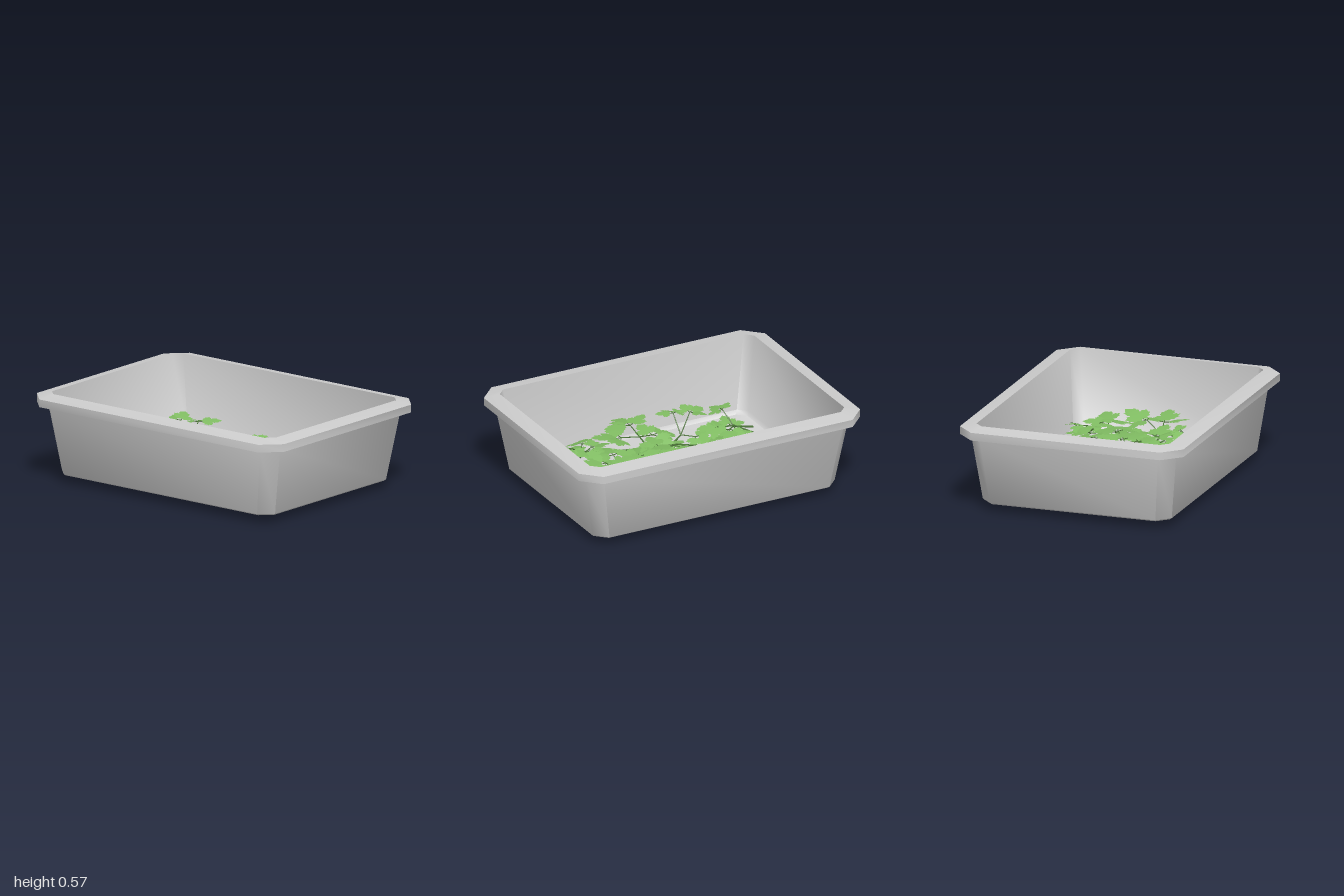
import * as THREE from 'three';
import { mergeGeometries, toCreasedNormals } from 'three/addons/utils/BufferGeometryUtils.js';

const grey = new THREE.MeshStandardMaterial({ color: 0xcccccc });
const leafGreen = new THREE.MeshStandardMaterial({ color: 0x80bc62, side: THREE.DoubleSide });
const stemGreen = new THREE.MeshStandardMaterial({ color: 0x4f7a3a });
const UP = new THREE.Vector3(0, 1, 0);

let seed = 7;
const rand = (a, b) => {
  seed = (seed * 16807) % 2147483647;
  return a + (b - a) * (seed / 2147483647);
};

// Rectangle with cut corners, half sizes w and d, cut c, at height y
const ring = ([w, d, c, y]) => [
  [w, y, d - c], [w - c, y, d], [c - w, y, d], [-w, y, d - c],
  [-w, y, c - d], [c - w, y, -d], [w - c, y, -d], [w, y, c - d],
];

// Tray: cut-corner sections from the underside, over the rim, to the inner floor
function makeTray() {
  const rings = [
    [0.615, 0.85, 0.07, 0.05], [0.63, 0.862, 0.08, 0.06],
    [0.685, 0.94, 0.09, 0.5], [0.745, 1.0, 0.115, 0.5], [0.745, 1.0, 0.115, 0.55],
    [0.645, 0.905, 0.05, 0.57], [0.595, 0.835, 0.055, 0.085], [0.58, 0.82, 0.055, 0.06],
  ].map(ring);
  const pos = [];
  const tri = (...pts) => pts.forEach((p) => pos.push(...p));
  for (let i = 0; i < rings.length - 1; i++) {
    for (let j = 0; j < 8; j++) {
      const k = (j + 1) % 8, lo = rings[i], hi = rings[i + 1];
      tri(lo[j], hi[j], hi[k]);
      tri(lo[j], hi[k], lo[k]);
    }
  }
  const under = rings[0], floor = rings[rings.length - 1];
  for (let j = 1; j < 7; j++) {
    tri(under[0], under[j], under[j + 1]);
    tri(floor[0], floor[j + 1], floor[j]);
  }
  const geo = new THREE.BufferGeometry();
  geo.setAttribute('position', new THREE.Float32BufferAttribute(pos, 3));
  const mesh = new THREE.Mesh(toCreasedNormals(geo, 0.9), grey);
  mesh.name = 'tray';
  return mesh;
}

// Lobed, toothed leaf of length 1 with its stalk end at the origin, tip toward -z
function makeLeafShape() {
  const half = [
    [0.03, 0], [0.16, -0.06], [0.24, 0.03], [0.36, 0.03], [0.40, 0.13], [0.52, 0.20],
    [0.47, 0.28], [0.54, 0.42], [0.42, 0.42], [0.37, 0.50], [0.22, 0.44],
    [0.29, 0.58], [0.25, 0.66], [0.27, 0.78], [0.16, 0.80], [0.11, 0.90],
  ];
  const mirrored = half.map(([x, y]) => [-x, y]).reverse();
  const outline = [...half, [0, 1], ...mirrored].map(([x, y]) => new THREE.Vector2(x, y));
  const geo = new THREE.ShapeGeometry(new THREE.Shape(outline));
  const p = geo.attributes.position;
  // Slight droop toward the tip and sides
  for (let i = 0; i < p.count; i++) {
    p.setZ(i, -0.1 * p.getX(i) ** 2 - 0.12 * p.getY(i) ** 2);
  }
  geo.rotateX(-Math.PI / 2);
  geo.computeVertexNormals();
  return geo;
}
const leafShape = makeLeafShape();

function placeLeaf(at, dir, size) {
  const yaw = Math.atan2(-dir.x, -dir.z);
  const turn = new THREE.Euler(rand(-0.3, 0.3), yaw, rand(-0.3, 0.3), 'YXZ');
  const m = new THREE.Matrix4().compose(
    at, new THREE.Quaternion().setFromEuler(turn), new THREE.Vector3(size, size, size));
  return leafShape.clone().applyMatrix4(m);
}

function stem(a, b, r) {
  const geo = new THREE.CylinderGeometry(r * 0.8, r, a.distanceTo(b), 5);
  const dir = b.clone().sub(a).normalize();
  geo.applyQuaternion(new THREE.Quaternion().setFromUnitVectors(UP, dir));
  const mid = a.clone().lerp(b, 0.5);
  return geo.translate(mid.x, mid.y, mid.z);
}

// Sprig: main stalk to a fork, three twigs fanning out, three leaflets on each twig
function makeSprig(base, fork, size) {
  const leaves = [], stems = [stem(base, fork, 0.006)];
  const ahead = fork.clone().sub(base).setY(0).normalize();
  for (const fan of [-1.2, 0, 1.2]) {
    const dir = ahead.clone().applyAxisAngle(UP, fan + rand(-0.15, 0.15));
    const tip = fork.clone().addScaledVector(dir, 0.06 + size * 0.3);
    tip.x = THREE.MathUtils.clamp(tip.x, -0.45, 0.45);
    tip.z = THREE.MathUtils.clamp(tip.z, -0.65, 0.65);
    tip.y = rand(0.12, 0.25);
    stems.push(stem(fork, tip, 0.004));
    for (const spread of [-1.25, 0, 1.25]) {
      const out = dir.clone().applyAxisAngle(UP, spread + rand(-0.2, 0.2));
      const foot = tip.clone().addScaledVector(out, size * 0.18);
      stems.push(stem(tip, foot, 0.003));
      leaves.push(placeLeaf(foot, out, size * (spread ? 0.7 : 0.9)));
    }
  }
  const leafMesh = new THREE.Mesh(mergeGeometries(leaves), leafGreen);
  leafMesh.name = 'leaves';
  const stemMesh = new THREE.Mesh(mergeGeometries(stems), stemGreen);
  stemMesh.name = 'stems';
  const group = new THREE.Group();
  group.name = 'sprig';
  group.add(leafMesh, stemMesh);
  return group;
}

export function createModel() {
  const model = new THREE.Group();
  model.name = 'trayOfLeaves';
  model.add(makeTray());

  // Sprigs: stalk end x, z, fork x, z, leaf size
  const sprigs = [
    [-0.05, -0.8, -0.2, -0.55, 0.13], [-0.27, -0.72, -0.26, -0.58, 0.12],
    [0.11, -0.77, 0.05, -0.48, 0.14], [0.42, -0.2, 0.35, -0.52, 0.17],
    [0.44, -0.45, 0.38, -0.25, 0.13], [0.46, -0.1, 0.25, -0.08, 0.15],
    [-0.27, -0.1, -0.35, -0.25, 0.13], [-0.1, 0.05, -0.32, 0.06, 0.19],
    [-0.37, 0.78, -0.33, 0.5, 0.13], [-0.2, 0.2, -0.4, 0.44, 0.13],
    [-0.1, 0.3, -0.07, 0.56, 0.19], [0.22, 0.3, 0.28, 0.55, 0.19],
    [0.43, 0.8, 0.4, 0.52, 0.13], [0.24, 0.09, 0.08, 0.25, 0.19],
    [0.3, -0.1, 0.28, 0.17, 0.15], [0.1, -0.1, -0.02, 0.1, 0.2],
    [-0.05, -0.35, -0.12, -0.1, 0.19], [0.0, 0.1, -0.05, 0.32, 0.17],
  ];
  const heap = new THREE.Group();
  heap.name = 'leafHeap';
  for (const [bx, bz, fx, fz, size] of sprigs) {
    const base = new THREE.Vector3(bx, rand(0.08, 0.2), bz);
    const fork = new THREE.Vector3(fx, rand(0.12, 0.2), fz);
    heap.add(makeSprig(base, fork, size));
  }

  // Stalk ends that poke through the floor: end x, y, z, lean in x and z
  const pokes = [[0.24, 0.004, 0.09, -0.1, 0.2], [0.44, 0.02, -0.41, -0.1, 0.2], [0.2, 0.03, -0.02, 0.1, 0.15]];
  for (const [x, y, z, dx, dz] of pokes) {
    const end = new THREE.Vector3(x, y, z);
    const top = new THREE.Vector3(x + dx, y + 0.1, z + dz);
    const mesh = new THREE.Mesh(stem(end, top, 0.005), stemGreen);
    mesh.name = 'looseStalk';
    heap.add(mesh);
  }
  model.add(heap);
  return model;
}
